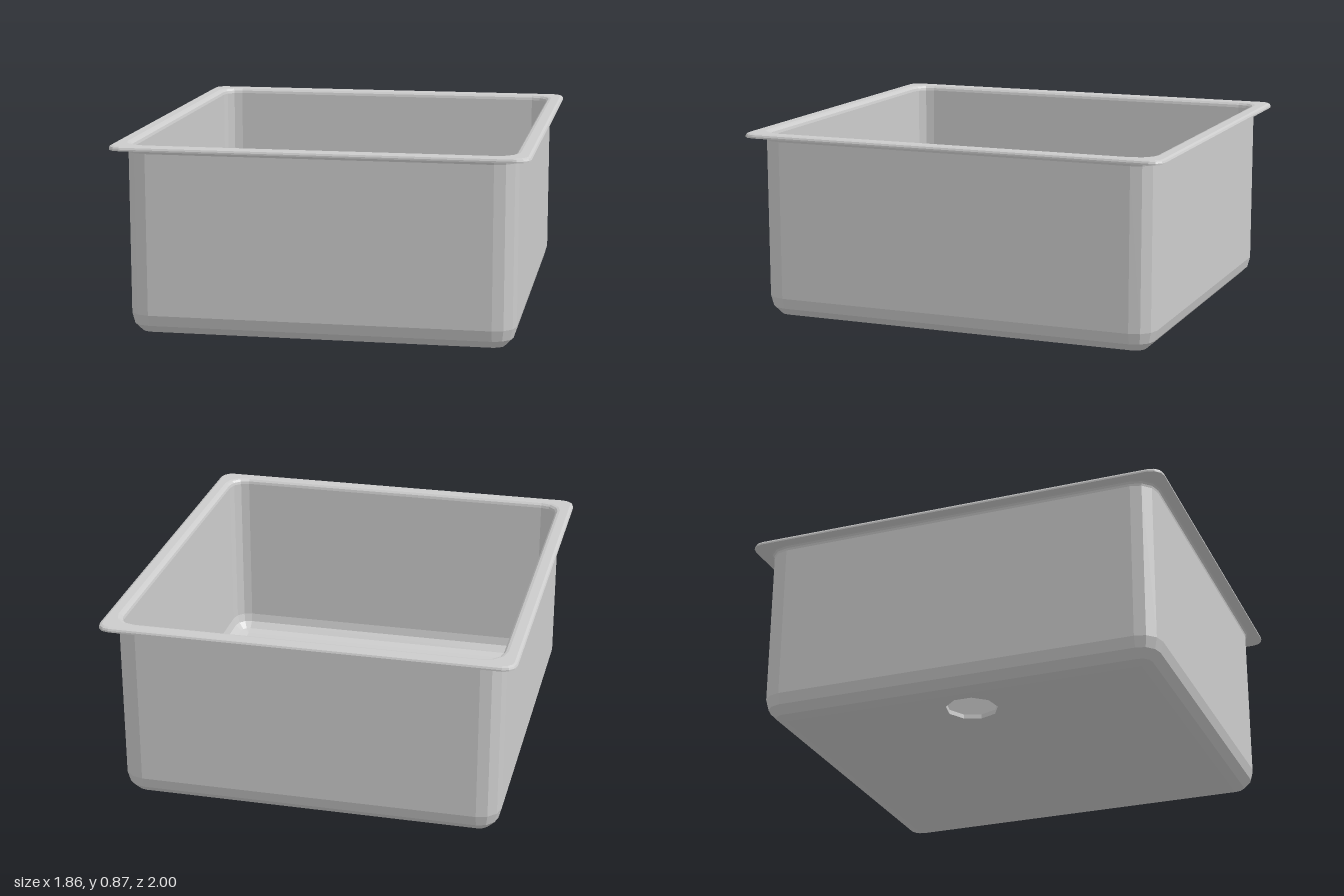
import * as THREE from 'three';

const HALF_X = 0.93, HALF_Z = 1, TOP = 0.872, SHEET = 0.02;
const CORNER_STEPS = 3;
const DRAIN = { x: -0.613, radius: 0.118, sides: 9 };

// Rounded rectangle at height y, set in from the rim's outer edge
function ring([inset, y, radius]) {
  const points = [];
  const cx = HALF_X - inset - radius, cz = HALF_Z - inset - radius;
  [[1, 1], [-1, 1], [-1, -1], [1, -1]].forEach(([sx, sz], quarter) => {
    for (let i = 0; i <= CORNER_STEPS; i++) {
      const a = (quarter + i / CORNER_STEPS) * Math.PI / 2;
      points.push([sx * cx + radius * Math.cos(a), y, sz * cz + radius * Math.sin(a)]);
    }
  });
  return points;
}

// Skin stretched over a run of rounded rectangles
function loft(sections) {
  const rings = sections.map(ring);
  const n = rings[0].length;
  const index = [];
  for (let i = 0; i < rings.length - 1; i++) {
    for (let j = 0; j < n; j++) {
      const a = i * n + j, b = i * n + (j + 1) % n;
      index.push(a, b, a + n, b, b + n, a + n);
    }
  }
  const geometry = new THREE.BufferGeometry();
  geometry.setAttribute('position', new THREE.Float32BufferAttribute(rings.flat(2), 3));
  geometry.setIndex(index);
  const flat = geometry.toNonIndexed();
  flat.computeVertexNormals();
  return flat;
}

// Quarter-round between wall and floor; the corner radius shrinks to nothing
function floorFillet(wallInset, radius, floorY) {
  const sections = [];
  for (let i = 0; i <= CORNER_STEPS; i++) {
    const a = (i / CORNER_STEPS) * Math.PI / 2;
    const r = radius * Math.cos(a);
    sections.push([wallInset + radius - r, floorY + radius * (1 - Math.sin(a)), r]);
  }
  return sections;
}

// Quarter-round flaring the wall out into the rim
function lip(wallInset, radius, y, cornerSum) {
  const sections = [];
  for (let i = 0; i <= CORNER_STEPS; i++) {
    const a = (i / CORNER_STEPS) * Math.PI / 2;
    const inset = wallInset - radius * (1 - Math.sin(a));
    sections.push([inset, y - radius * (1 - Math.cos(a)), cornerSum - inset]);
  }
  return sections;
}

// Floor sheet with the drain opening cut out
function floorShape() {
  const w = HALF_X - 0.16, d = HALF_Z - 0.16;
  const shape = new THREE.Shape([[-w, -d], [w, -d], [w, d], [-w, d]].map(p => new THREE.Vector2(...p)));
  const hole = [];
  for (let i = 0; i < DRAIN.sides; i++) {
    const a = (i / DRAIN.sides) * Math.PI * 2;
    hole.push(new THREE.Vector2(DRAIN.x + DRAIN.radius * Math.cos(a), DRAIN.radius * Math.sin(a)));
  }
  shape.holes.push(new THREE.Path(hole));
  return new THREE.ShapeGeometry(shape);
}

export function createModel() {
  const model = new THREE.Group();
  model.name = 'sinkBasin';
  const material = new THREE.MeshStandardMaterial({
    color: 0xcccccc, flatShading: true, side: THREE.DoubleSide,
  });
  const add = (name, geometry) => {
    const mesh = new THREE.Mesh(geometry, material);
    mesh.name = name;
    model.add(mesh);
    return mesh;
  };

  const innerLip = lip(0.08, 0.025, TOP, 0.16);
  const outerLip = lip(0.06, 0.02, TOP - SHEET, 0.16);

  // Flat rim with a softened outer edge
  add('rim', loft([
    innerLip[0],
    [0.015, TOP, 0.045],
    [0.004, TOP - 0.005, 0.056],
    [0, TOP - 0.013, 0.06],
    [0, TOP - SHEET, 0.06],
    outerLip[0],
  ]));

  // Walls with rounded corners, inside and outside
  add('innerWall', loft([...floorFillet(0.08, 0.08, SHEET).reverse(), ...innerLip.reverse()]));
  add('outerWall', loft([...outerLip, ...floorFillet(0.06, 0.1, 0)]));

  // Floor, its underside and the edge of the drain hole
  add('floor', floorShape().rotateX(-Math.PI / 2)).position.y = SHEET;
  add('underside', floorShape().rotateX(Math.PI / 2));
  add('drainEdge', new THREE.CylinderGeometry(
    DRAIN.radius, DRAIN.radius, SHEET, DRAIN.sides, 1, true, Math.PI / 2,
  )).position.set(DRAIN.x, SHEET / 2, 0);

  return model;
}
